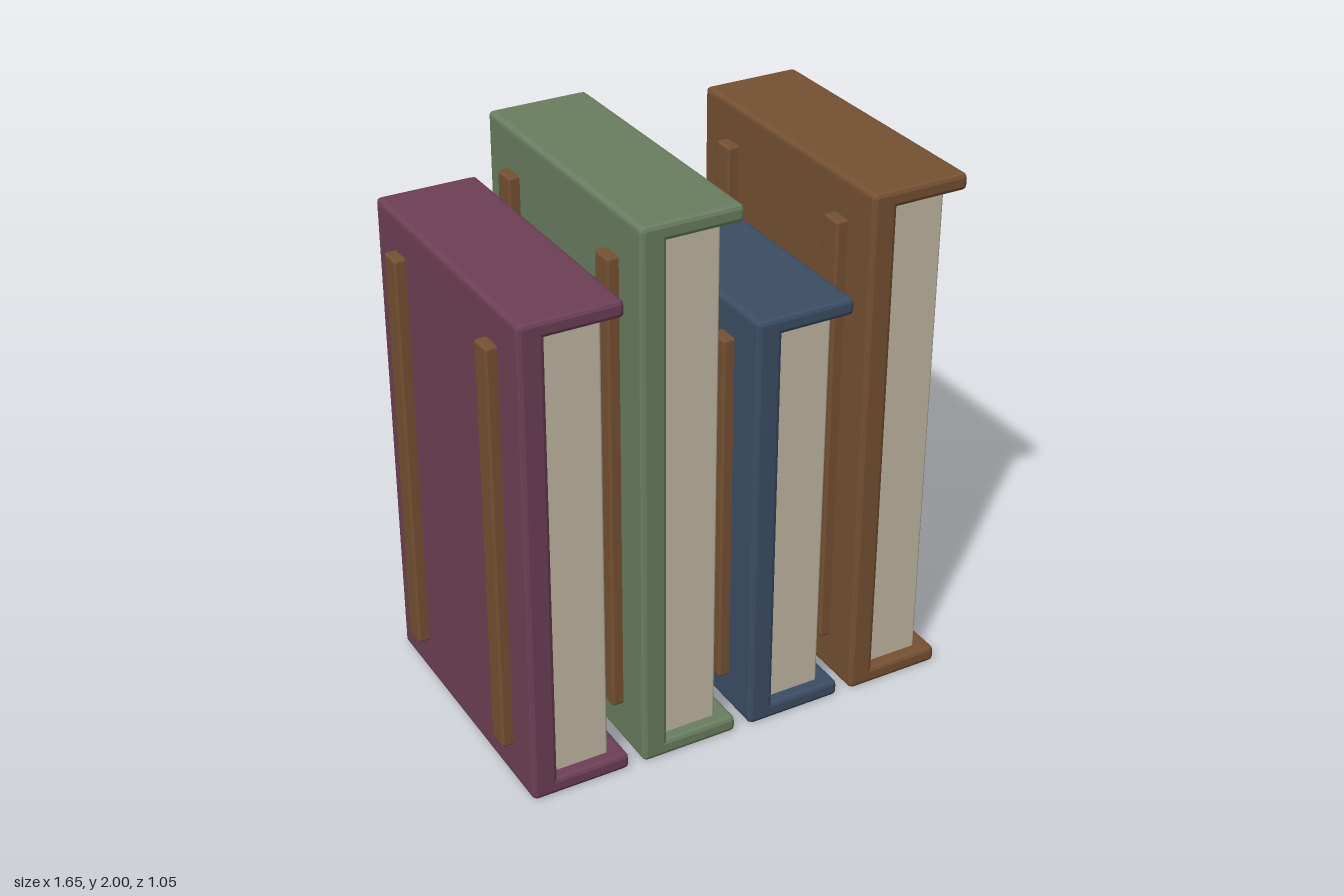
import * as THREE from 'three';
import { RoundedBoxGeometry } from 'three/addons/geometries/RoundedBoxGeometry.js';

const material = (name, color) => {
  const m = new THREE.MeshStandardMaterial({ color });
  m.name = name;
  return m;
};

const DEPTH = 1.05, WIDTH = 0.362, SPINE = 0.092, BOARD = 0.06, BEVEL = 0.015;

// C-shaped outline: thick spine on the left, a board above and below
function coverShape(h) {
  const points = [
    [0, 0, 0.02], [WIDTH, 0, 0.02], [WIDTH, BOARD, 0.02], [SPINE, BOARD, 0],
    [SPINE, h - BOARD, 0], [WIDTH, h - BOARD, 0.02], [WIDTH, h, 0.02], [0, h, 0.02],
  ].map(([x, y, r]) => ({ p: new THREE.Vector2(x, y), r }));
  const shape = new THREE.Shape();
  const toward = (a, b, r) => b.clone().sub(a).setLength(r).add(a);
  points.forEach(({ p, r }, i) => {
    const prev = points[(i + 7) % 8].p, next = points[(i + 1) % 8].p;
    const a = r ? toward(p, prev, r) : p;
    if (i === 0) shape.moveTo(a.x, a.y);
    else shape.lineTo(a.x, a.y);
    if (r) {
      const b = toward(p, next, r);
      shape.quadraticCurveTo(p.x, p.y, b.x, b.y);
    }
  });
  shape.closePath();
  return shape;
}

function box(name, mat, min, max, radius) {
  const size = max.map((v, i) => v - min[i]);
  const mesh = new THREE.Mesh(new RoundedBoxGeometry(...size, 2, radius), mat);
  mesh.position.set(...max.map((v, i) => (v + min[i]) / 2));
  mesh.name = name;
  return mesh;
}

export function createModel() {
  const paper = material('paper', 0xc4bba7);
  const brown = material('brown leather', 0x765133);
  const plum = material('plum cloth', 0x6e4056);
  const green = material('green cloth', 0x6a7f60);
  const blue = material('blue cloth', 0x3c4e65);

  const model = new THREE.Group();
  model.name = 'bookRow';

  const books = [
    { name: 'plumBook', mat: plum, x: -0.79, h: 1.78, strap: [0.14, 1.65] },
    { name: 'greenBook', mat: green, x: -0.373, h: 2.0, strap: [0.155, 1.85] },
    { name: 'blueBook', mat: blue, x: 0.045, h: 1.575, strap: [0.125, 1.458] },
    { name: 'brownBook', mat: brown, x: 0.462, h: 1.92, strap: [0.15, 1.78] },
  ];

  for (const { name, mat, x, h, strap } of books) {
    const book = new THREE.Group();
    book.name = name;
    book.position.x = x;

    // Cover
    const geometry = new THREE.ExtrudeGeometry(coverShape(h), {
      depth: DEPTH - 2 * BEVEL, curveSegments: 4, bevelEnabled: true,
      bevelThickness: BEVEL, bevelSize: BEVEL, bevelOffset: -BEVEL, bevelSegments: 2,
    });
    geometry.translate(0, 0, BEVEL - DEPTH / 2);
    const cover = new THREE.Mesh(geometry, mat);
    cover.name = 'cover';
    book.add(cover);

    // Page block, tucked into the cover
    book.add(box('pages', paper,
      [SPINE - 0.02, BOARD - 0.02, -0.48], [0.303, h - BOARD + 0.02, 0.48], 0.01));

    // Two raised straps along the spine
    for (const z of [-0.34, 0.34]) {
      book.add(box('spineStrap', brown,
        [-0.04, strap[0], z - 0.042], [0.01, strap[1], z + 0.042], 0.01));
    }
    model.add(book);
  }
  return model;
}
